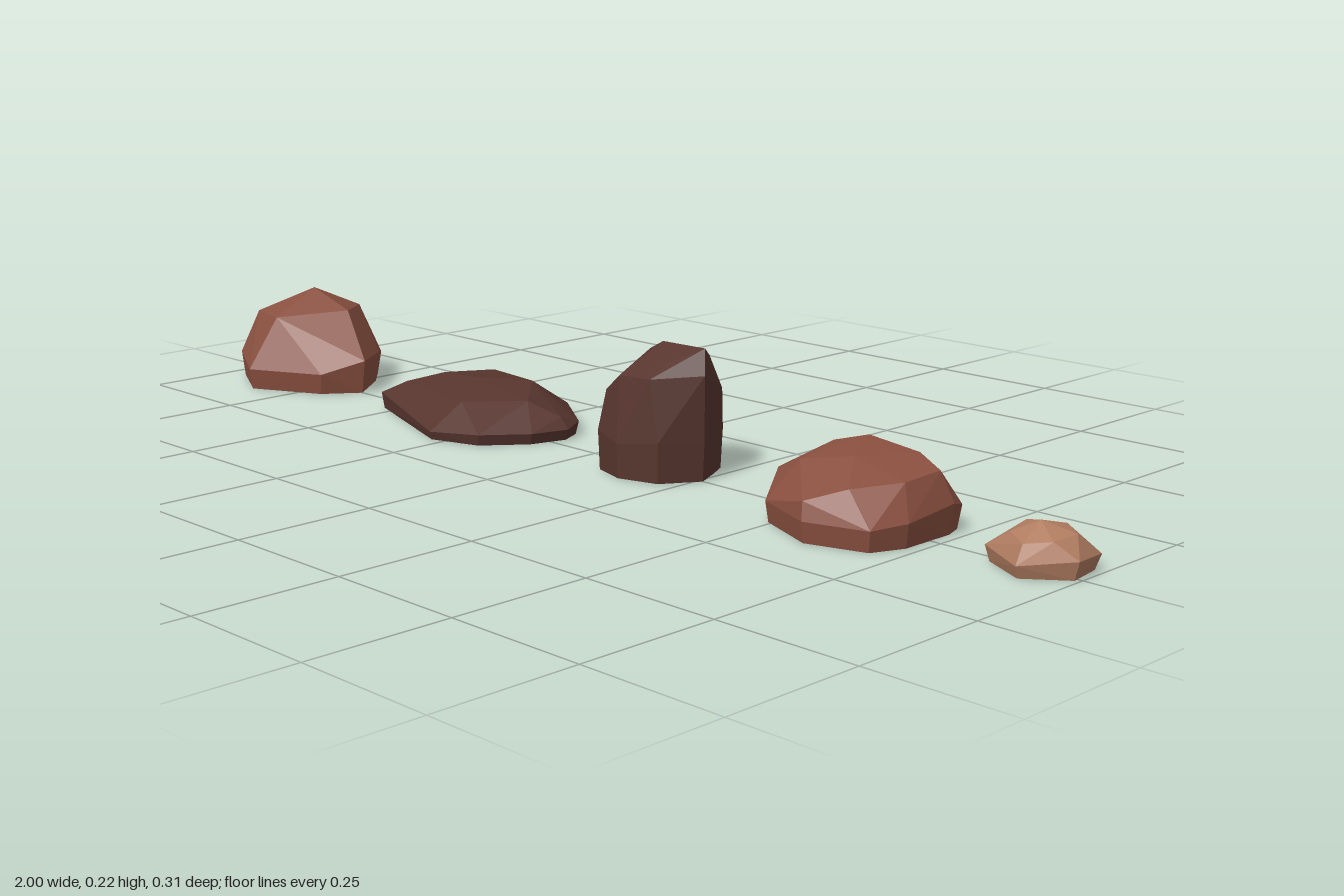
import * as THREE from 'three';
import { ConvexGeometry } from 'three/addons/geometries/ConvexGeometry.js';

const material = (name, color) => new THREE.MeshStandardMaterial({ name, color });

// A faceted rock: a belly outline and crown points, plus a flat base
// made by shrinking the belly toward the rock's centre on the ground.
function makeRock({ name, centre, inset, belly, crown }, mat) {
  const points = [...belly, ...crown].map((p) => new THREE.Vector3(...p));
  for (const [x, , z] of belly) {
    points.push(new THREE.Vector3(
      centre[0] + (x - centre[0]) * inset, 0, centre[1] + (z - centre[1]) * inset));
  }
  const mesh = new THREE.Mesh(new ConvexGeometry(points), mat);
  mesh.name = name;
  return mesh;
}

export function createModel() {
  const rust = material('rust stone', 0x8a5040);
  const dark = material('dark stone', 0x57352e);
  const tan = material('tan stone', 0xb07c60);

  // Broad angular boulder
  const boulder = {
    name: 'angularBoulder', centre: [-0.85, 0], inset: 0.95,
    belly: [
      [-1, 0.06, -0.09], [-0.92, 0.05, -0.13], [-0.78, 0.045, -0.143], [-0.72, 0.06, -0.09],
      [-0.65, 0.065, 0], [-0.70, 0.04, 0.07], [-0.84, 0.04, 0.14], [-0.96, 0.05, 0.075], [-1, 0.07, 0.02],
    ],
    crown: [
      [-1, 0.09, -0.07], [-0.94, 0.145, -0.06], [-0.835, 0.186, -0.02], [-0.80, 0.145, -0.105],
      [-0.74, 0.15, -0.03], [-0.93, 0.135, 0.05], [-0.82, 0.14, 0.085], [-0.91, 0.13, -0.10],
    ],
  };

  // Low flat slab
  const slab = {
    name: 'flatSlab', centre: [-0.32, 0], inset: 0.97,
    belly: [
      [-0.535, 0.03, -0.01], [-0.535, 0.03, 0.05], [-0.395, 0.02, 0.10], [-0.275, 0.015, 0.146],
      [-0.18, 0.02, 0.115], [-0.12, 0.02, 0.04], [-0.10, 0.02, -0.03], [-0.12, 0.025, -0.075],
      [-0.225, 0.03, -0.145], [-0.305, 0.03, -0.155], [-0.44, 0.03, -0.14], [-0.495, 0.03, -0.09],
    ],
    crown: [
      [-0.50, 0.052, 0.015], [-0.43, 0.075, -0.02], [-0.38, 0.076, -0.10], [-0.34, 0.082, -0.01],
      [-0.25, 0.078, -0.08], [-0.175, 0.065, 0], [-0.12, 0.04, -0.03], [-0.27, 0.06, 0.075],
    ],
  };

  // Tall upright stone with a sloping front top
  const pillar = {
    name: 'uprightStone', centre: [0.16, 0], inset: 0.97,
    belly: [
      [0.057, 0.07, 0], [0.065, 0.07, -0.06], [0.15, 0.07, -0.09], [0.22, 0.07, -0.09],
      [0.24, 0.07, -0.05], [0.262, 0.07, 0], [0.22, 0.07, 0.068], [0.145, 0.06, 0.09], [0.08, 0.07, 0.07],
    ],
    crown: [
      [0.062, 0.125, 0], [0.07, 0.13, -0.055], [0.15, 0.15, -0.085], [0.22, 0.14, -0.087],
      [0.105, 0.20, -0.03], [0.15, 0.221, -0.015], [0.245, 0.222, -0.017], [0.215, 0.20, -0.06],
      [0.15, 0.20, -0.06], [0.261, 0.18, 0], [0.20, 0.175, 0.068], [0.13, 0.172, 0.068],
      [0.20, 0.197, 0.03], [0.09, 0.14, 0.06],
    ],
  };

  // Rounded squat boulder
  const squat = {
    name: 'squatBoulder', centre: [0.59, 0.01], inset: 0.96,
    belly: [
      [0.44, 0.04, -0.09], [0.61, 0.04, -0.122], [0.725, 0.04, -0.085], [0.736, 0.05, -0.05],
      [0.735, 0.04, 0.06], [0.71, 0.035, 0.12], [0.605, 0.035, 0.153], [0.49, 0.035, 0.105], [0.44, 0.04, 0.03],
    ],
    crown: [
      [0.442, 0.065, -0.06], [0.442, 0.065, 0.02], [0.505, 0.11, -0.04], [0.56, 0.125, -0.06],
      [0.61, 0.117, 0.04], [0.52, 0.10, 0.06], [0.66, 0.115, -0.06], [0.715, 0.10, -0.04],
      [0.71, 0.095, 0.04], [0.66, 0.088, 0.11], [0.60, 0.065, 0.146], [0.60, 0.09, -0.093],
    ],
  };

  // Small pebble
  const pebble = {
    name: 'smallPebble', centre: [0.92, -0.005], inset: 0.9,
    belly: [
      [0.847, 0.025, -0.062], [0.93, 0.025, -0.078], [0.99, 0.025, -0.062], [1, 0.03, 0.01],
      [0.93, 0.02, 0.066], [0.845, 0.025, 0.022], [0.85, 0.03, -0.02],
    ],
    crown: [
      [0.88, 0.06, -0.03], [0.925, 0.075, 0], [0.975, 0.06, -0.02], [0.94, 0.064, -0.045],
      [0.965, 0.055, 0.025], [0.89, 0.055, 0.025], [0.93, 0.05, 0.05],
    ],
  };

  const group = new THREE.Group();
  group.name = 'rockSet';
  group.add(
    makeRock(boulder, rust), makeRock(slab, dark), makeRock(pillar, dark),
    makeRock(squat, rust), makeRock(pebble, tan));
  return group;
}
